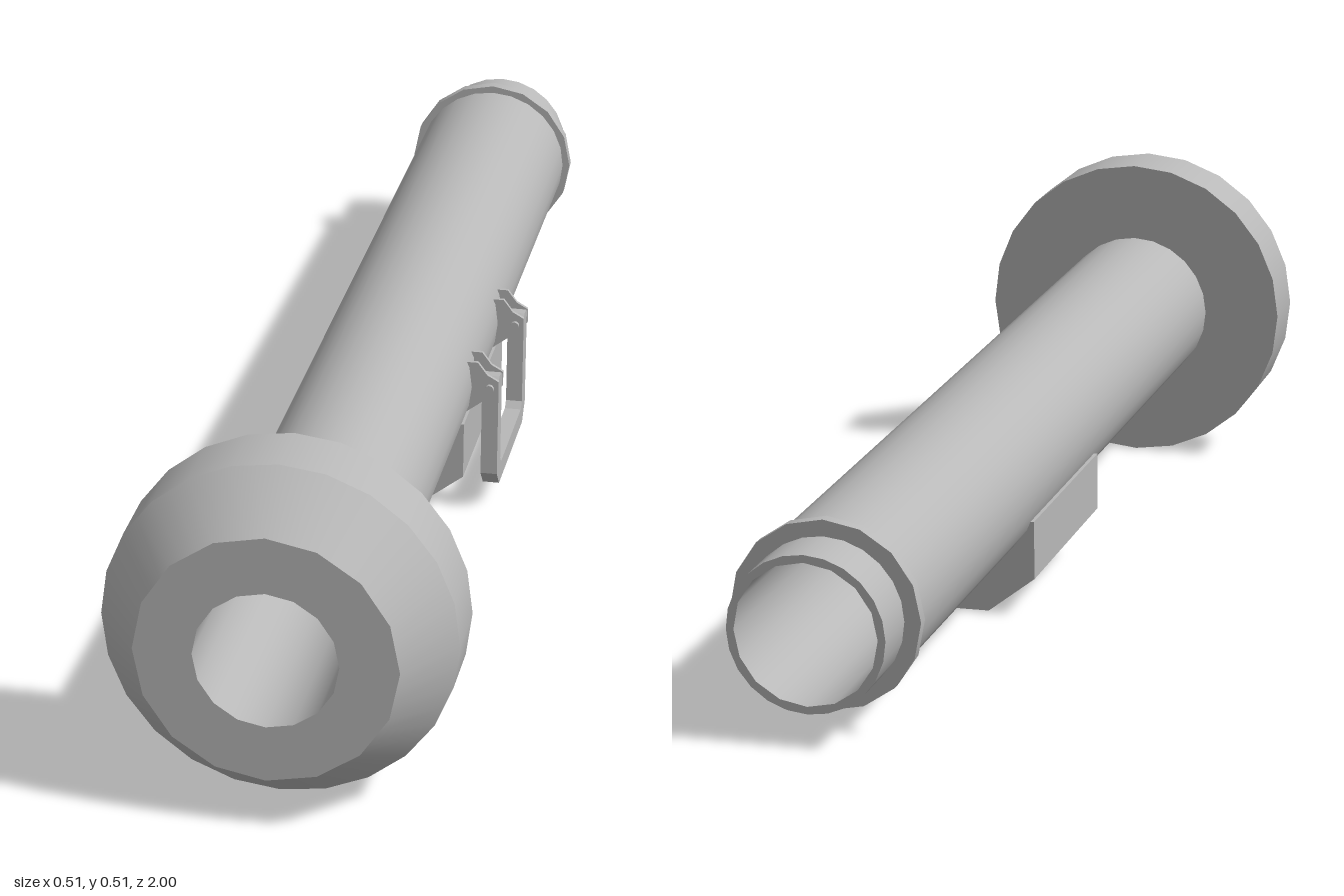
import * as THREE from 'three';
import { mergeGeometries } from 'three/addons/utils/BufferGeometryUtils.js';

const STEPS = 48; // common multiple of the 16- and 24-sided rings

// Ratio of a regular polygon's radius to its circumscribed circle at angle a
function polygon(a, sides) {
  const step = (2 * Math.PI) / sides;
  const local = (((a % step) + step) % step) - step / 2;
  return Math.cos(step / 2) / Math.cos(local);
}

// Sharp-edged turned part along z; each profile point is [radius, z, sides]
function turned(profile) {
  const bands = [];
  for (let i = 0; i < profile.length - 1; i++) {
    const ends = [profile[i], profile[i + 1]];
    const g = new THREE.LatheGeometry(ends.map(([r, z]) => new THREE.Vector2(r, z)), STEPS);
    const p = g.attributes.position;
    for (let v = 0; v < p.count; v++) {
      const k = polygon(2 * Math.PI * Math.floor(v / 2) / STEPS + 1e-7, ends[v % 2][2]);
      p.setXYZ(v, p.getX(v) * k, p.getY(v), p.getZ(v) * k);
    }
    bands.push(g.rotateX(Math.PI / 2));
  }
  return mergeGeometries(bands);
}

function shapeOf(points) {
  return new THREE.Shape(points.map(([x, y]) => new THREE.Vector2(x, y)));
}

function extrude(points, depth) {
  return new THREE.ExtrudeGeometry(shapeOf(points), { depth, bevelEnabled: false });
}

export function createModel() {
  const model = new THREE.Group();
  const metal = new THREE.MeshStandardMaterial({ color: 0xb8b8b8 });
  metal.name = 'plain grey';

  // Everything follows the slightly raised tube axis
  const launcher = new THREE.Group();
  launcher.name = 'tiltedAssembly';
  launcher.position.y = 0.2165;
  launcher.rotation.x = -0.051;
  model.add(launcher);

  function add(name, geometry, parent = launcher) {
    const mesh = new THREE.Mesh(geometry, metal);
    mesh.name = name;
    parent.add(mesh);
    return mesh;
  }

  // Wide front head with a bevelled nose
  add('frontHead', turned([
    [0.12, 0.798, 24], [0.2535, 0.798, 24], [0.2535, 0.9, 24],
    [0.187, 0.993, 16], [0.103, 0.993, 16],
  ]));

  // Main tube, rear sleeve and open bore
  add('mainTube', turned([[0.112, -0.9, 24], [0.126, -0.9, 24], [0.126, 0.8, 24]]));
  add('rearSleeve', turned([[0.103, -0.993, 16], [0.114, -0.993, 24], [0.114, -0.89, 24]]));
  add('bore', turned([[0.103, 0.993, 16], [0.103, -0.993, 16]]));

  // Raised ring ahead of the sleeve
  add('rearRing', turned([
    [0.112, -0.908, 16], [0.138, -0.908, 16], [0.138, -0.89, 16], [0.122, -0.89, 16],
  ]));

  // Chamfered block below the tube, hollowed around the bore
  const block = extrude([
    [-0.12, -0.05], [-0.12, -0.14], [-0.047, -0.196],
    [0.047, -0.196], [0.12, -0.14], [0.12, -0.05],
    [0.106, -0.05], [0.075, -0.09], [0.04, -0.11],
    [-0.04, -0.11], [-0.075, -0.09], [-0.106, -0.05],
  ], 0.37);
  add('lowerBlock', block.translate(0, 0, -0.28));

  // Swinging carry handle on the side, drawn in the z-y plane
  const handle = new THREE.Group();
  handle.name = 'carryHandle';
  launcher.add(handle);
  const outer = [0.14, 0.015], inner = 0.108;
  const grip = extrude([
    [-outer[0], 0.01], [-outer[0], -0.15], [-0.115, -0.177],
    [0.115, -0.177], [outer[0], -0.15], [outer[0], 0.01],
    [0.132, outer[1]], [0.116, outer[1]], [inner, 0.01],
    [inner, -0.137], [0.098, -0.147], [-0.098, -0.147],
    [-inner, -0.137], [-inner, 0.01], [-0.116, outer[1]], [-0.132, outer[1]],
  ], 0.026);
  grip.rotateY(Math.PI / 2).translate(0.141, 0, -0.09);
  add('grip', grip, handle);

  // A pair of pointed lugs and a pin at each end of the handle
  for (const side of [-1, 1]) {
    const z = -0.09 + side * 0.124;
    for (const edge of [-1, 1]) {
      const lug = extrude([
        [0.115, -0.045], [0.145, -0.022], [0.168, -0.012],
        [0.168, 0.012], [0.15, 0.022], [0.135, 0.042], [0.112, 0.042],
      ], 0.006);
      add('lug', lug.translate(0, 0, z + edge * 0.02 - 0.003), handle);
    }
    const pin = new THREE.CylinderGeometry(0.007, 0.007, 0.058, 10).rotateX(Math.PI / 2);
    add('pin', pin.translate(0.154, 0, z), handle);
  }

  return model;
}
